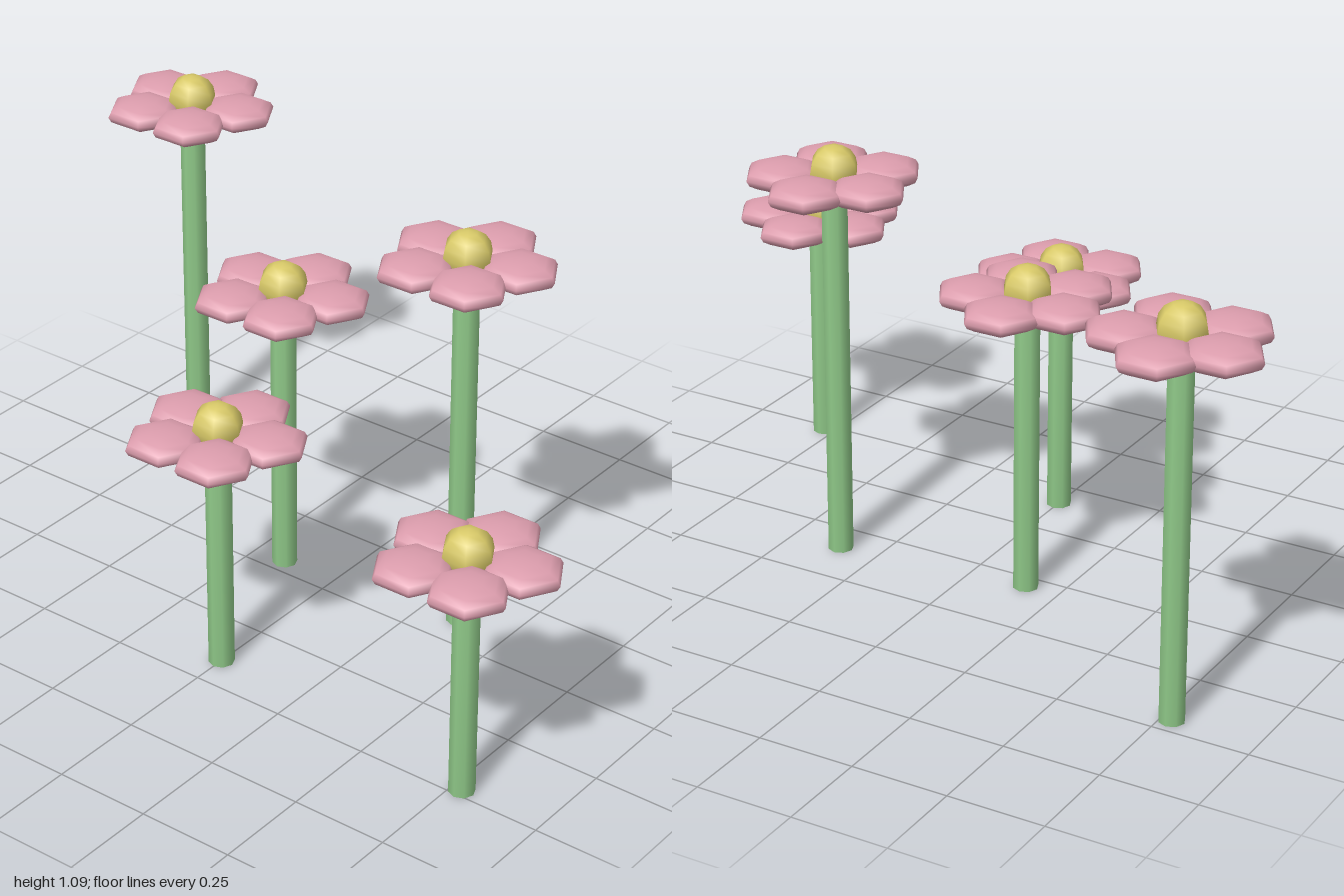
import * as THREE from 'three';

export function createModel() {
  const material = (name, color) => {
    const m = new THREE.MeshStandardMaterial({ color });
    m.name = name;
    return m;
  };
  const pink = material('petal pink', 0xdc9dad);
  const yellow = material('pollen yellow', 0xd8c968);
  const green = material('stem green', 0x8fc888);

  // Six-sided spheres with their corners towards front and back
  const petalGeometry = new THREE.SphereGeometry(0.1, 6, 8).rotateY(Math.PI / 2).scale(1, 0.36, 1);
  const centreGeometry = new THREE.SphereGeometry(0.065, 6, 8).rotateY(Math.PI / 2);
  const petalDistance = 0.128;
  const stemRadius = 0.0325;

  const add = (group, name, geometry, mat, x, y, z) => {
    const mesh = new THREE.Mesh(geometry, mat);
    mesh.name = name;
    mesh.position.set(x, y, z);
    group.add(mesh);
  };

  function createFlower(height) {
    const flower = new THREE.Group();
    flower.name = 'flower';

    // Closed stem with softly shaded ends
    const profile = [[0, 0], [stemRadius, 0], [stemRadius, height], [0, height]]
      .map(([r, y]) => new THREE.Vector2(r, y));
    add(flower, 'stem', new THREE.LatheGeometry(profile, 8), green, 0, 0, 0);

    add(flower, 'flowerCentre', centreGeometry, yellow, 0, height + 0.022, 0);

    // Ring of five petals, all facing the same way
    for (let i = 0; i < 5; i++) {
      const a = (i / 5) * Math.PI * 2;
      add(flower, 'petal', petalGeometry, pink,
        Math.cos(a) * petalDistance, height, Math.sin(a) * petalDistance);
    }
    return flower;
  }

  // Flower spots: x, z and petal height
  const spots = [
    [0.451, -0.778, 0.966],
    [0.045, -0.157, 0.781],
    [-0.406, 0, 0.644],
    [0.099, 0.356, 1.007],
    [-0.479, 0.778, 0.631],
  ];
  const model = new THREE.Group();
  model.name = 'flowers';
  for (const [x, z, height] of spots) {
    const flower = createFlower(height);
    flower.position.set(x, 0, z);
    model.add(flower);
  }
  return model;
}
